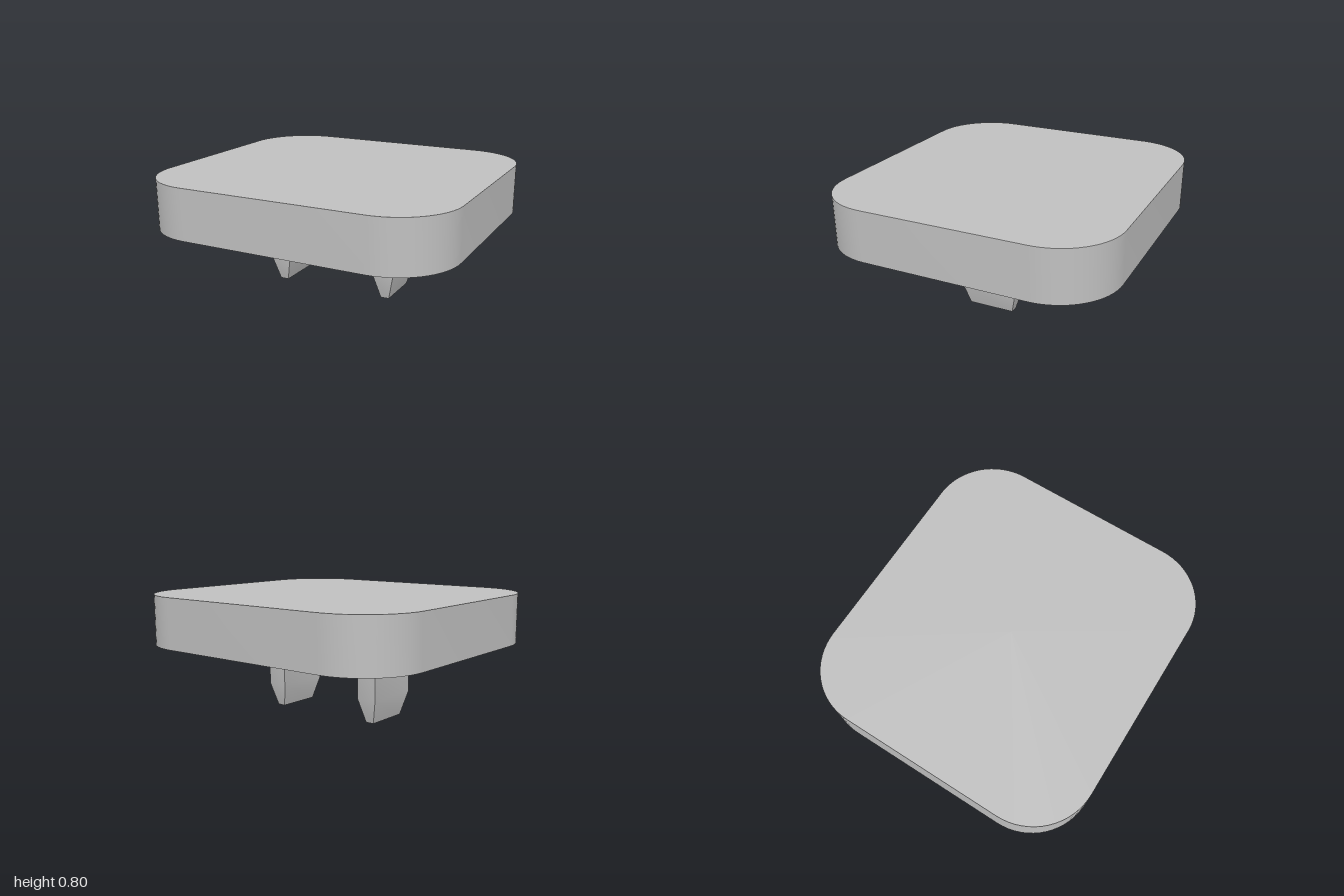
import * as THREE from 'three';
import { toCreasedNormals } from 'three/addons/utils/BufferGeometryUtils.js';

// Rounded rectangle outline at height y, counterclockwise from above
function outline({ hx, hz, r = 0, y }, segments) {
  const points = [];
  for (let corner = 0; corner < 4; corner++) {
    const sx = corner === 0 || corner === 3 ? 1 : -1;
    const sz = corner < 2 ? -1 : 1;
    for (let i = 0; i <= segments; i++) {
      const a = (corner + (segments ? i / segments : 0)) * Math.PI / 2;
      points.push(new THREE.Vector3(sx * (hx - r) + r * Math.cos(a), y, sz * (hz - r) - r * Math.sin(a)));
    }
  }
  return points;
}

// Skin a sequence of outlines, running from the top down the outside
function skin(sections, segments) {
  const rings = sections.map((s) => outline(s, segments));
  const position = [];
  const area = new THREE.Triangle();
  const addTriangle = (a, b, c) => {
    if (area.set(a, b, c).getArea() < 1e-8) return;
    for (const p of [a, b, c]) position.push(p.x, p.y, p.z);
  };
  for (let k = 0; k < rings.length - 1; k++) {
    const [a, b] = [rings[k], rings[k + 1]];
    for (let i = 0; i < a.length; i++) {
      const j = (i + 1) % a.length;
      addTriangle(a[i], b[i], b[j]);
      addTriangle(a[i], b[j], a[j]);
    }
  }
  const geometry = new THREE.BufferGeometry();
  geometry.setAttribute('position', new THREE.Float32BufferAttribute(position, 3));
  geometry.computeVertexNormals();
  return toCreasedNormals(geometry, Math.PI / 9);
}

export function createModel() {
  const model = new THREE.Group();
  model.name = 'pegCap';
  const grey = new THREE.MeshStandardMaterial({ color: 0xc0c0c0 });
  grey.name = 'grey';

  // Rounded cap with a shallow recess underneath
  const cap = new THREE.Mesh(skin([
    { hx: 0, hz: 0, y: 0.8 },
    { hx: 1, hz: 0.93, r: 0.4, y: 0.8 },
    { hx: 1, hz: 0.93, r: 0.4, y: 0.47 },
    { hx: 0.81, hz: 0.74, r: 0.21, y: 0.47 },
    { hx: 0.81, hz: 0.74, r: 0.21, y: 0.54 },
    { hx: 0, hz: 0, y: 0.54 },
  ], 16), grey);
  cap.name = 'cap';
  model.add(cap);

  // Two flat pegs with tapered tips, rooted in the recess
  const pegGeometry = skin([
    { hx: 0.068, hz: 0.19, y: 0.54 },
    { hx: 0.068, hz: 0.19, y: 0.155 },
    { hx: 0.028, hz: 0.15, y: 0 },
    { hx: 0, hz: 0, y: 0 },
  ], 0);
  for (const side of [-1, 1]) {
    const peg = new THREE.Mesh(pegGeometry, grey);
    peg.name = side > 0 ? 'leftPeg' : 'rightPeg';
    peg.position.x = side * 0.38;
    model.add(peg);
  }
  return model;
}
